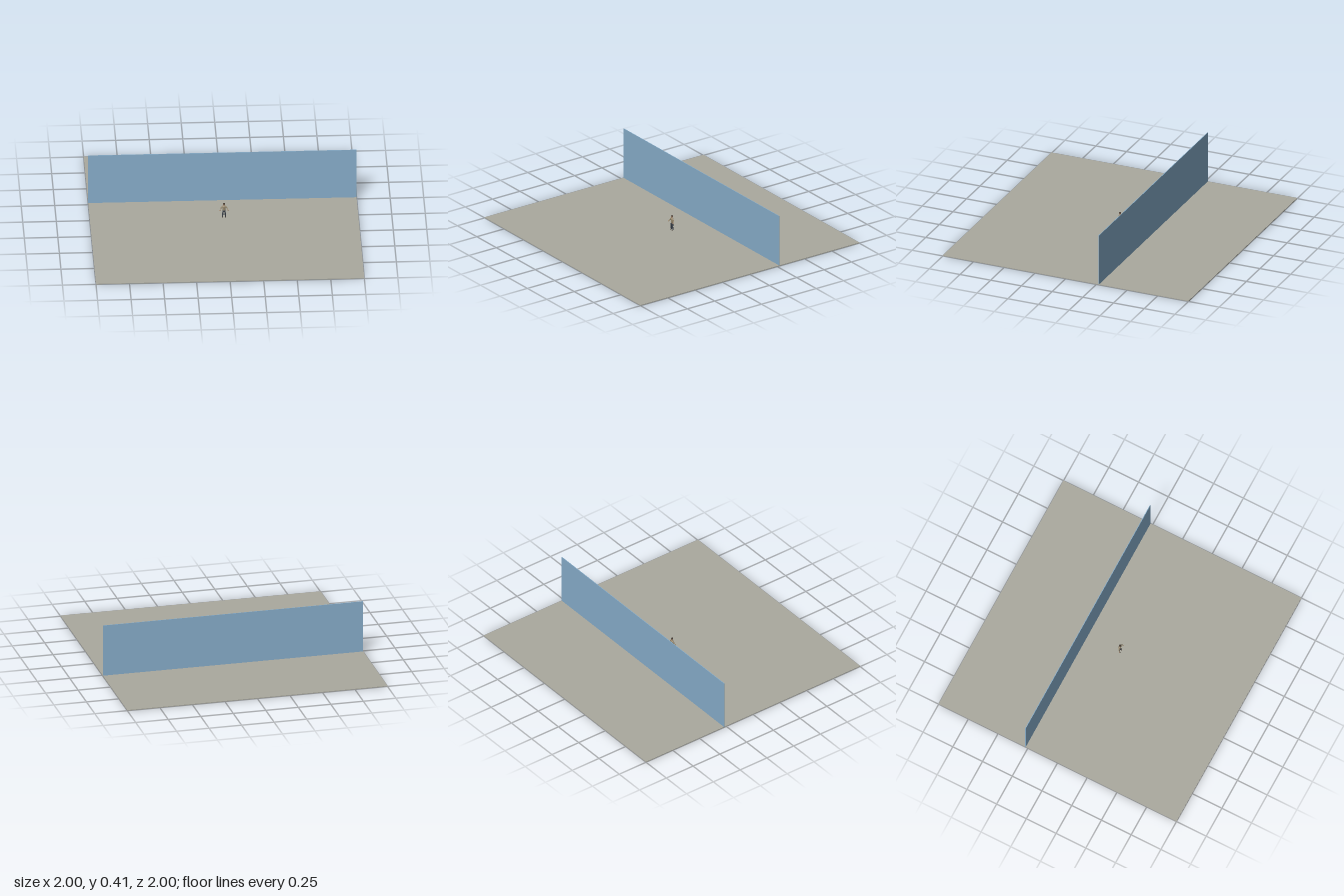
import * as THREE from 'three';

const mat = (name, color) => Object.assign(new THREE.MeshStandardMaterial({ color }), { name });

export function createModel() {
  const ground = mat('ground stone', 0xaaa99e);
  const blue = mat('wall blue', 0x87adca);
  const tan = mat('tan jacket', 0x9a8b70);
  const dark = mat('dark trousers', 0x3f4650);
  const skin = mat('skin', 0xb58c6c);
  const hair = mat('dark hair', 0x40372f);

  const root = new THREE.Group();
  const add = (parent, name, geometry, material, x = 0, y = 0, z = 0) => {
    const mesh = new THREE.Mesh(geometry, material);
    mesh.name = name;
    mesh.position.set(x, y, z);
    parent.add(mesh);
    return mesh;
  };

  // Tapered limb between two points
  const limb = (parent, name, a, b, ra, rb, material) => {
    const from = new THREE.Vector3(...a), to = new THREE.Vector3(...b);
    const dir = to.clone().sub(from);
    const mesh = add(parent, name, new THREE.CylinderGeometry(rb, ra, dir.length(), 10), material);
    mesh.position.copy(from).add(to).multiplyScalar(0.5);
    mesh.quaternion.setFromUnitVectors(new THREE.Vector3(0, 1, 0), dir.normalize());
  };
  const ball = (r, sx = 1, sy = 1, sz = 1) => new THREE.SphereGeometry(r, 12, 8).scale(sx, sy, sz);

  // Setting: thin floor slab and upright panel
  add(root, 'floor', new THREE.BoxGeometry(2, 0.005, 2), ground, 0, 0.0025, 0);
  add(root, 'wall', new THREE.BoxGeometry(2, 0.4, 0.005), blue, 0, 0.205, -0.27);

  // Standing figure, feet on the floor
  const figure = new THREE.Group();
  figure.name = 'figure';
  figure.position.y = 0.005;
  root.add(figure);

  // Torso from hips to neck, flattened front to back
  const profile = [[0, 0.054], [0.011, 0.054], [0.0105, 0.066], [0.012, 0.078],
    [0.0145, 0.089], [0.012, 0.095], [0.004, 0.098], [0, 0.098]];
  const torso = new THREE.LatheGeometry(profile.map(p => new THREE.Vector2(...p)), 14).scale(1, 1, 0.62);
  add(figure, 'torso', torso, tan);
  add(figure, 'hips', ball(0.0115, 1, 0.75, 0.68), dark, 0, 0.054, 0);

  // Head
  add(figure, 'neck', new THREE.CylinderGeometry(0.0035, 0.004, 0.008, 10), skin, 0, 0.1, 0);
  add(figure, 'head', ball(0.0085, 0.85, 1.15, 0.95), skin, 0, 0.11, 0.001);
  add(figure, 'hair', new THREE.SphereGeometry(0.009, 12, 6, 0, Math.PI * 2, 0, Math.PI * 0.5)
    .scale(0.9, 1, 1), hair, 0, 0.1115, 0);

  // Arms reach outward and curve forward; legs stand slightly apart
  for (const [side, s] of [['left', 1], ['right', -1]]) {
    add(figure, `${side}Shoulder`, ball(0.005), tan, s * 0.0135, 0.09, 0);
    limb(figure, `${side}UpperArm`, [s * 0.0135, 0.09, 0], [s * 0.023, 0.076, 0.003], 0.0048, 0.004, tan);
    add(figure, `${side}Elbow`, ball(0.004), tan, s * 0.023, 0.076, 0.003);
    limb(figure, `${side}Forearm`, [s * 0.023, 0.076, 0.003], [s * 0.0295, 0.067, 0.011], 0.004, 0.003, tan);
    add(figure, `${side}Hand`, ball(0.004, 0.8, 1.2, 0.9), skin, s * 0.0305, 0.065, 0.0125);
    limb(figure, `${side}Thigh`, [s * 0.006, 0.054, 0], [s * 0.009, 0.03, 0.001], 0.0062, 0.0048, dark);
    add(figure, `${side}Knee`, ball(0.0048), dark, s * 0.009, 0.03, 0.001);
    limb(figure, `${side}Shin`, [s * 0.009, 0.03, 0.001], [s * 0.0105, 0.004, -0.001], 0.0047, 0.0035, dark);
    add(figure, `${side}Shoe`, ball(0.005, 0.85, 0.6, 1.7), hair, s * 0.011, 0.003, 0.004);
  }
  return root;
}
